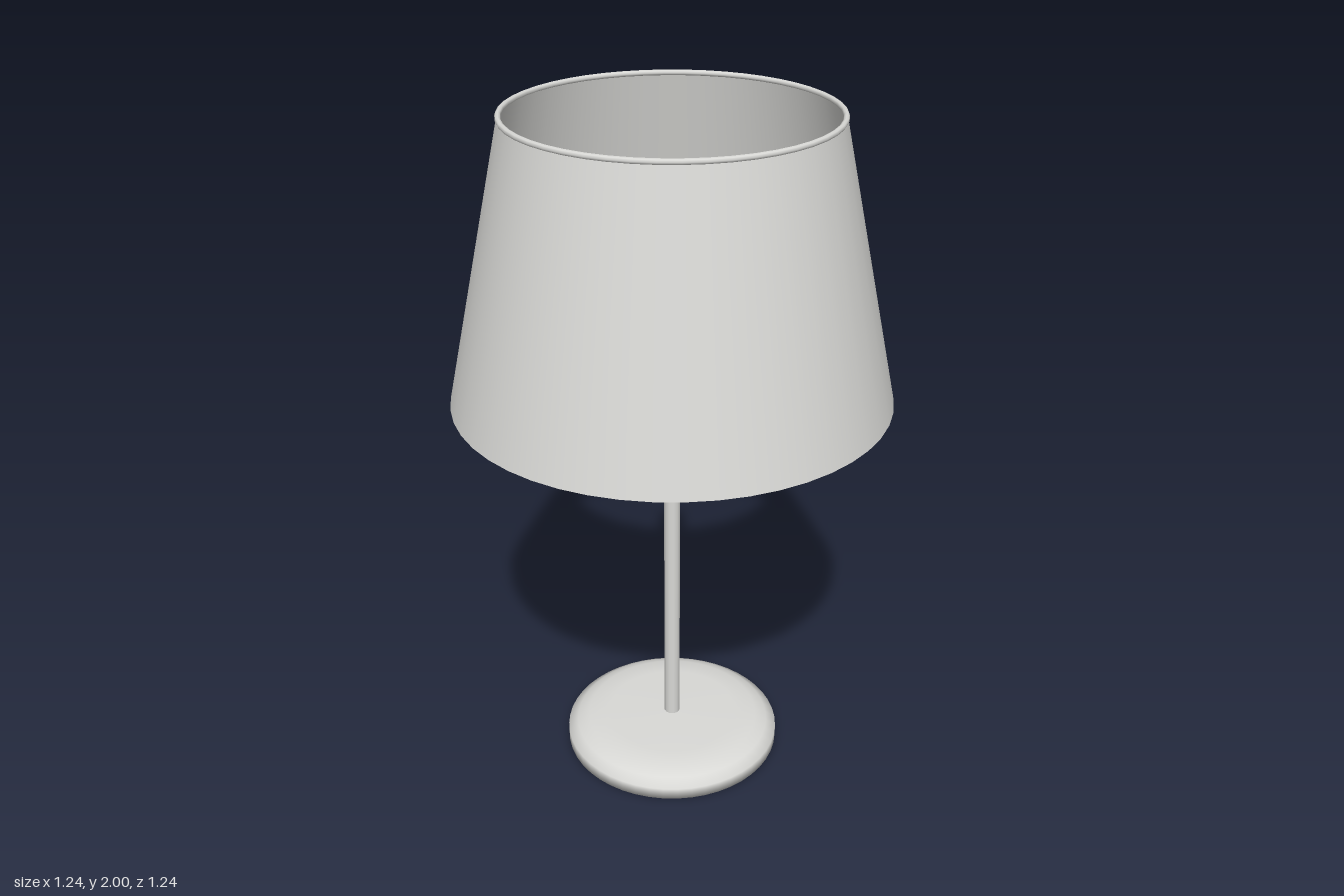
import * as THREE from 'three';

export function createModel() {
  const group = new THREE.Group();
  const paint = new THREE.MeshStandardMaterial({ color: 0xd9d9d6 });
  paint.name = 'pale grey';
  const fabric = new THREE.MeshStandardMaterial({ color: 0xd9d9d6, side: THREE.DoubleSide });
  fabric.name = 'pale grey fabric';

  const add = (name, geometry, material, y = 0) => {
    const mesh = new THREE.Mesh(geometry, material);
    mesh.name = name;
    mesh.position.y = y;
    group.add(mesh);
    return mesh;
  };
  const post = (radius, bottom, top) =>
    new THREE.CylinderGeometry(radius, radius, top - bottom, 12).translate(0, (bottom + top) / 2, 0);

  // Weighted foot with a softly rounded upper edge
  const profile = [[0, 0], [0.33, 0], [0.33, 0.036], [0.3, 0.056], [0.265, 0.071], [0.2, 0.078], [0, 0.08]]
    .map(([r, y]) => new THREE.Vector2(r, y));
  add('base', new THREE.LatheGeometry(profile, 48), paint);

  // Stem and the lamp holder on top of it
  add('stem', post(0.024, 0.07, 1.5), paint);
  add('socket', post(0.053, 1.39, 1.59), paint);

  // Open tapered shade with a thin ring round its top
  add('shade', new THREE.CylinderGeometry(0.447, 0.62, 0.79, 48, 1, true), fabric, 1.595);
  add('shadeRim', new THREE.TorusGeometry(0.444, 0.008, 8, 48).rotateX(Math.PI / 2), paint, 1.992);

  return group;
}
